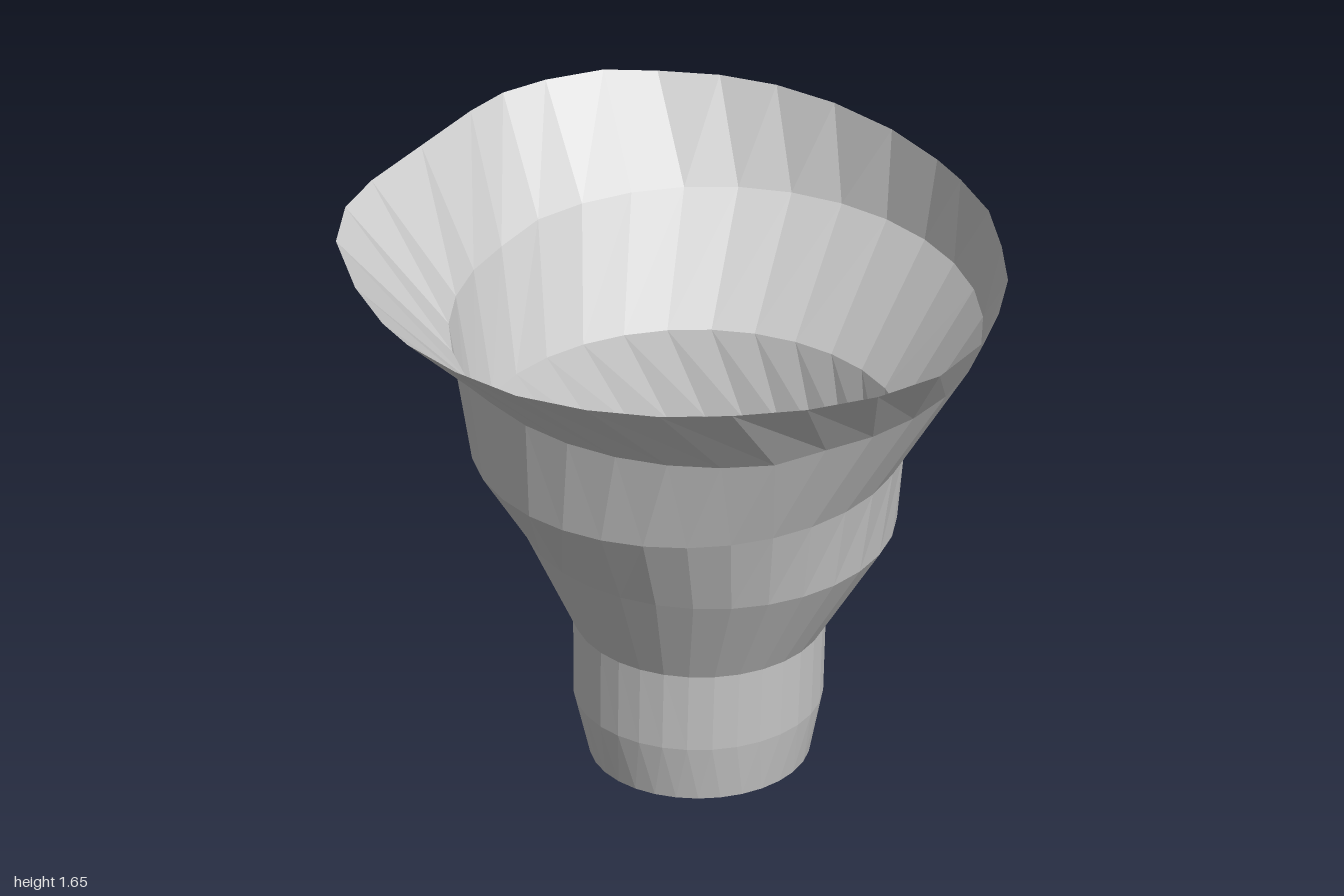
import * as THREE from 'three';

// Outline of the flared rim, [x, z], running from +x round through the front
const RIM = [
  [0.91, 0.06], [0.89, 0.25], [0.82, 0.44], [0.74, 0.61], [0.62, 0.76], [0.51, 0.87], [0.29, 0.99], [0.08, 1],
  [-0.13, 0.96], [-0.33, 0.88], [-0.51, 0.78], [-0.67, 0.64], [-0.8, 0.47], [-0.88, 0.27], [-0.92, 0.07],
  [-0.92, -0.07], [-0.885, -0.28], [-0.8, -0.53], [-0.68, -0.68], [-0.54, -0.77], [-0.32, -0.865], [-0.1, -0.96],
  [0.03, -1], [0.17, -1], [0.34, -0.965], [0.48, -0.9], [0.62, -0.79], [0.73, -0.66], [0.82, -0.49],
  [0.885, -0.28], [0.91, -0.07],
];
const SIDES = RIM.length;

// Elliptical ring; twist turns its corners against the rim's
function ring(y, xMin, xMax, zMin, zMax, twist) {
  return RIM.map((_, j) => {
    const a = 0.07 + twist + (j / SIDES) * Math.PI * 2;
    return [
      (xMin + xMax) / 2 + (xMax - xMin) / 2 * Math.cos(a),
      y,
      (zMin + zMax) / 2 + (zMax - zMin) / 2 * Math.sin(a),
    ];
  });
}

// Band of facets between two rings, facing outwards
function band(name, low, high, material) {
  const positions = [];
  for (let j = 0; j < SIDES; j++) {
    const k = (j + 1) % SIDES;
    positions.push(...low[j], ...high[j], ...high[k], ...low[j], ...high[k], ...low[k]);
  }
  const geometry = new THREE.BufferGeometry();
  geometry.setAttribute('position', new THREE.Float32BufferAttribute(positions, 3));
  geometry.computeVertexNormals();
  const mesh = new THREE.Mesh(geometry, material);
  mesh.name = name;
  return mesh;
}

export function createModel() {
  const group = new THREE.Group();
  group.name = 'funnel';
  const material = new THREE.MeshStandardMaterial({ color: 0xcccccc, flatShading: true, side: THREE.DoubleSide });

  const rings = [
    ring(0, -0.23, 0.4, -0.31, 0.31, 0.42),
    ring(0.18, -0.27, 0.44, -0.36, 0.345, 0.3),
    ring(0.43, -0.275, 0.44, -0.36, 0.365, 0.3),
    ring(0.745, -0.415, 0.65, -0.545, 0.535, 0.3),
    ring(1.015, -0.58, 0.67, -0.6, 0.607, 0),
    // the left part of the neck ring sits slightly lower
    ring(1.357, -0.61, 0.9, -0.78, 0.76, 0).map(([x, y, z]) => [x, x < -0.07 ? 1.335 : y, z]),
    // the rim dips a little on its +x side
    RIM.map(([x, z]) => [x, x > 0.45 ? 1.637 : 1.65, z]),
  ];

  const names = ['spoutFoot', 'spout', 'lowerCone', 'twistedBand', 'upperCone', 'flaredRim'];
  names.forEach((name, i) => group.add(band(name, rings[i], rings[i + 1], material)));
  return group;
}
